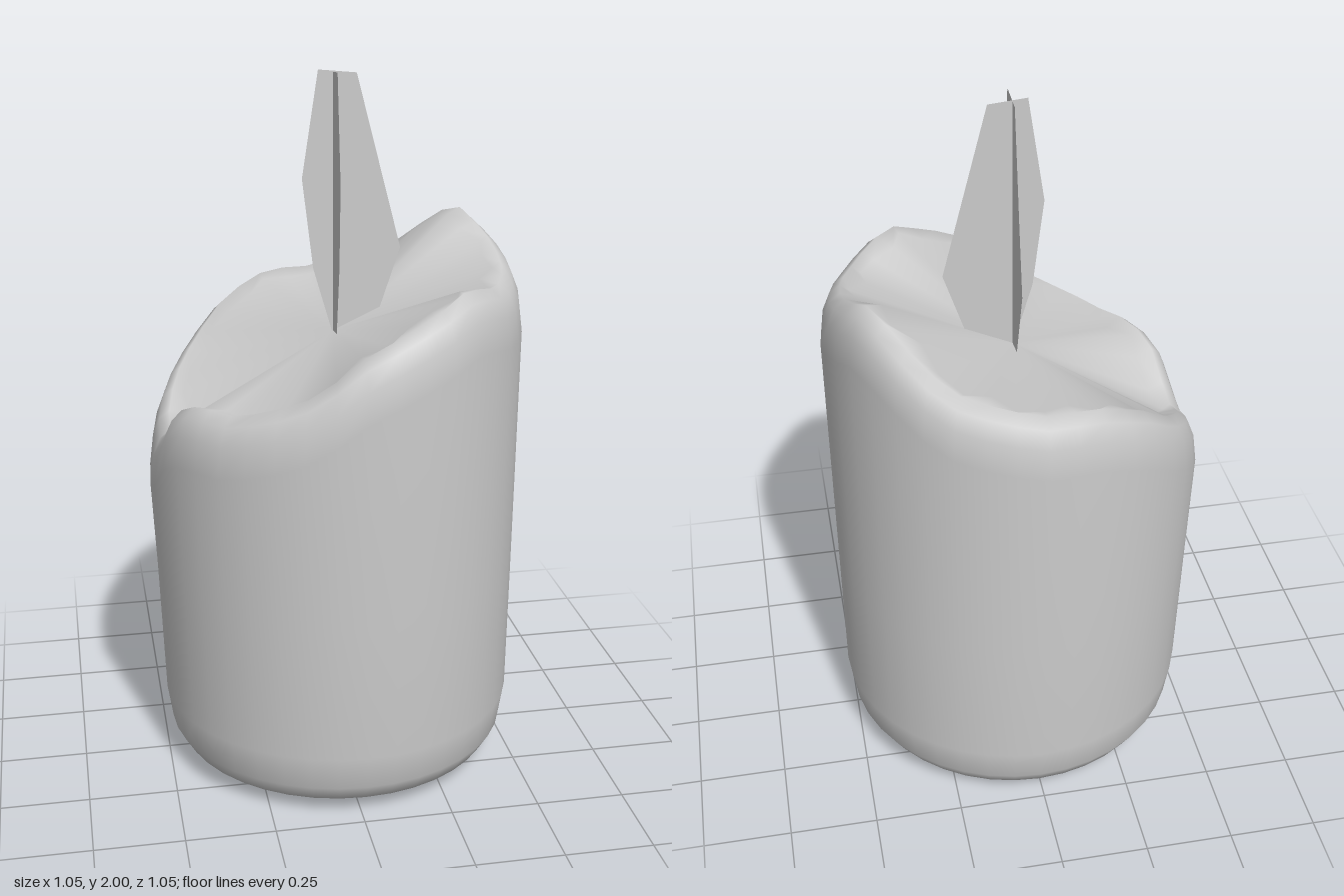
import * as THREE from 'three';

const SEGMENTS = 40;

// Height of the melted rim, as [angle in degrees from +x towards +z, y]
const RIM = [
  [0, 1.49], [15, 1.46], [30, 1.445], [52, 1.48], [60, 1.45], [75, 1.4], [90, 1.34],
  [105, 1.24], [120, 1.19], [135, 1.16], [150, 1.16], [162, 1.12], [176, 1.0],
  [190, 1.05], [205, 1.12], [220, 1.19], [237, 1.29], [255, 1.35], [270, 1.35],
  [300, 1.41], [318, 1.52], [330, 1.58], [345, 1.53], [360, 1.49],
];

function rimHeight(degrees) {
  const i = Math.max(1, RIM.findIndex(([a]) => a >= degrees));
  const [a0, y0] = RIM[i - 1];
  const [a1, y1] = RIM[i];
  return THREE.MathUtils.lerp(y0, y1, (degrees - a0) / (a1 - a0));
}

// Rings from the base up the wall, over the rim and into the pool:
// radius, height, whether the height is measured from the rim, sideways shift
const RINGS = [
  { r: 0.3, y: 0.015, shift: 0.01 },
  { r: 0.42, y: 0.03, shift: 0.01 },
  { r: 0.465, y: 0.05, shift: 0.01 },
  { r: 0.495, y: 0.1, shift: 0.01 },
  { r: 0.51, y: 0.2, shift: 0.01 },
  { r: 0.518, y: 0.6, shift: 0.004 },
  { r: 0.526, y: -0.16, rim: true },
  { r: 0.515, y: -0.075, rim: true },
  { r: 0.495, y: -0.025, rim: true },
  { r: 0.465, y: 0, rim: true },
  { r: 0.425, y: -0.015, rim: true, ragged: 0.022 },
];

function createWax(material) {
  const positions = [];
  const index = [];
  for (const { r, y, rim, shift = 0, ragged = 0 } of RINGS) {
    for (let s = 0; s < SEGMENTS; s++) {
      const t = (s / SEGMENTS) * Math.PI * 2;
      const radius = r + ragged * Math.sin(s * 2.3);
      const height = rim ? rimHeight((s / SEGMENTS) * 360) + y : y;
      positions.push(Math.cos(t) * radius + shift, height, Math.sin(t) * radius - shift);
    }
  }
  const last = RINGS.length - 1;
  const bottom = positions.length / 3;
  const pool = bottom + 1;
  positions.push(0.03, 0, 0, 0, 1.28, 0);
  for (let s = 0; s < SEGMENTS; s++) {
    const n = (s + 1) % SEGMENTS;
    index.push(bottom, s, n);
    for (let k = 0; k < last; k++) {
      const a = k * SEGMENTS + s, b = k * SEGMENTS + n;
      index.push(a, a + SEGMENTS, b, b, a + SEGMENTS, b + SEGMENTS);
    }
    index.push(pool, last * SEGMENTS + n, last * SEGMENTS + s);
  }
  const geometry = new THREE.BufferGeometry();
  geometry.setAttribute('position', new THREE.Float32BufferAttribute(positions, 3));
  geometry.setIndex(index);
  geometry.computeVertexNormals();
  const mesh = new THREE.Mesh(geometry, material);
  mesh.name = 'waxBody';
  return mesh;
}

// One flat blade of the flame
function createBlade(name, outline, material) {
  const shape = new THREE.Shape(outline.map(([x, y]) => new THREE.Vector2(x, y)));
  const mesh = new THREE.Mesh(new THREE.ShapeGeometry(shape), material);
  mesh.name = name;
  return mesh;
}

export function createModel() {
  const candle = new THREE.Group();
  candle.name = 'candle';
  candle.add(createWax(new THREE.MeshStandardMaterial({ color: 0xcccccc })));

  // Flame: two crossed blades
  const flameMaterial = new THREE.MeshStandardMaterial({ color: 0xcccccc, side: THREE.DoubleSide });
  const flame = new THREE.Group();
  flame.name = 'flame';
  const wide = createBlade('flameBladeWide', [
    [-0.04, 2], [-0.085, 1.71], [-0.055, 1.46], [0, 1.27], [0.12, 1.3], [0.19, 1.51], [0.065, 1.99],
  ], flameMaterial);
  const cross = createBlade('flameBladeCross', [
    [-0.07, 2], [-0.115, 1.71], [-0.1, 1.48], [-0.06, 1.28], [0.06, 1.28], [0.135, 1.5], [0.09, 1.7], [0.03, 1.99],
  ], flameMaterial);
  cross.rotation.y = Math.PI / 2; // outline x runs towards -z
  flame.add(wide, cross);
  candle.add(flame);
  return candle;
}
